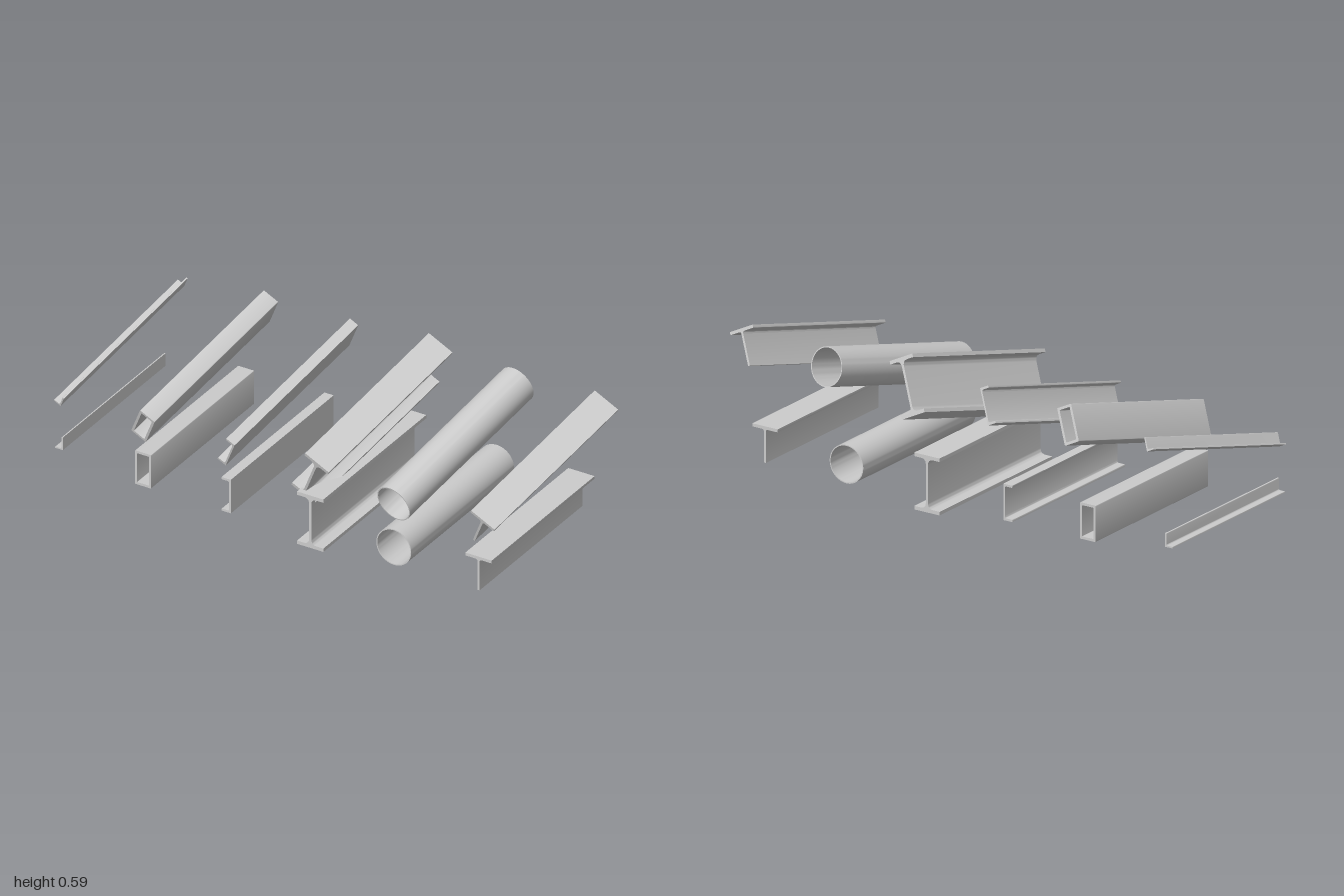
import * as THREE from 'three';
import { toCreasedNormals } from 'three/addons/utils/BufferGeometryUtils.js';

const material = new THREE.MeshStandardMaterial({ color: 0xcccccc });

// Closed outline from [x, y, r] corners; r rounds the corner
function outline(points, Type = THREE.Shape) {
  const shape = new Type();
  const n = points.length;
  points.forEach(([x, y, r = 0], i) => {
    const toward = ([px, py]) => {
      const d = Math.hypot(px - x, py - y);
      return [x + ((px - x) / d) * r, y + ((py - y) / d) * r];
    };
    const start = toward(points[(i + n - 1) % n]);
    const end = toward(points[(i + 1) % n]);
    if (i === 0) shape.moveTo(...start);
    else shape.lineTo(...start);
    if (r > 0) shape.quadraticCurveTo(x, y, ...end);
  });
  shape.closePath();
  return shape;
}

const rectangle = (w, h, r) => [[-w, -h, r], [w, -h, r], [w, h, r], [-w, h, r]];

// Cross-sections, each centred on its bounding box
function angleSection(w, h, t) {
  return outline([[-w, -h], [w, -h], [w, h], [w - t, h, t * 0.4], [w - t, -h + t, t], [-w, -h + t, t * 0.4]]);
}

function boxSection(w, h, t) {
  const shape = outline(rectangle(w, h, 0.004));
  shape.holes.push(outline(rectangle(w - t, h - t, 0.002), THREE.Path));
  return shape;
}

function channelSection(w, h, tf, tw) {
  return outline([
    [-w, -h], [w, -h], [w, h], [-w, h], [-w, h - tf, 0.003], [w - tw, h - tf, 0.008],
    [w - tw, -h + tf, 0.008], [-w, -h + tf, 0.003],
  ]);
}

function iSection(w, h, tf, tw, r) {
  const t = tw / 2, y = h - tf;
  return outline([
    [-w, -h], [w, -h], [w, -y], [t, -y, r], [t, y, r], [w, y],
    [w, h], [-w, h], [-w, y], [-t, y, r], [-t, -y, r], [-w, -y],
  ]);
}

function pipeSection(radius, t) {
  const shape = new THREE.Shape().absarc(0, 0, radius, 0, Math.PI * 2, false);
  shape.holes.push(new THREE.Path().absarc(0, 0, radius - t, 0, Math.PI * 2, true));
  return shape;
}

function teeSection(w, h, tf, tw, r) {
  const t = tw / 2, y = h - tf;
  return outline([[-t, -h], [t, -h], [t, y, r], [w, y, 0.003], [w, h], [-w, h], [-w, y, 0.003], [-t, y, r]]);
}

// Straight bar along z, centred on its middle
function bar(name, section, length) {
  const geometry = new THREE.ExtrudeGeometry(section, {
    depth: length, bevelEnabled: false, curveSegments: name === 'pipe' ? 32 : 6,
  });
  geometry.translate(0, 0, -length / 2);
  return new THREE.Mesh(toCreasedNormals(geometry, 0.6), material);
}

export function createModel() {
  const group = new THREE.Group();
  group.name = 'steelSections';

  const profiles = [
    ['angleBar', angleSection(0.0165, 0.0265, 0.006), -0.973, 0.116],
    ['boxTube', boxSection(0.035, 0.071, 0.01), -0.612, 0.113],
    ['channel', channelSection(0.02, 0.071, 0.009, 0.007), -0.255, 0.113],
    ['iBeam', iSection(0.0565, 0.111, 0.014, 0.01, 0.022), 0.106, 0.111],
    ['pipe', pipeSection(0.075, 0.004), 0.465, 0.113],
    ['teeBar', teeSection(0.0565, 0.071, 0.012, 0.009, 0.009), 0.829, 0.113],
  ];

  for (const [name, section, x, y] of profiles) {
    // Level bar
    const level = bar(name, section, 0.72);
    level.name = name + 'Level';
    level.position.set(x, y, 0);

    // Sloping bar above: pitched up toward the back, then rolled sideways
    const sloping = bar(name, section, 0.747);
    sloping.name = name + 'Sloping';
    sloping.position.set(x + 0.044, y + 0.272, 0);
    sloping.rotation.set(0.27, 0, -0.464, 'ZXY');

    group.add(level, sloping);
  }
  return group;
}
